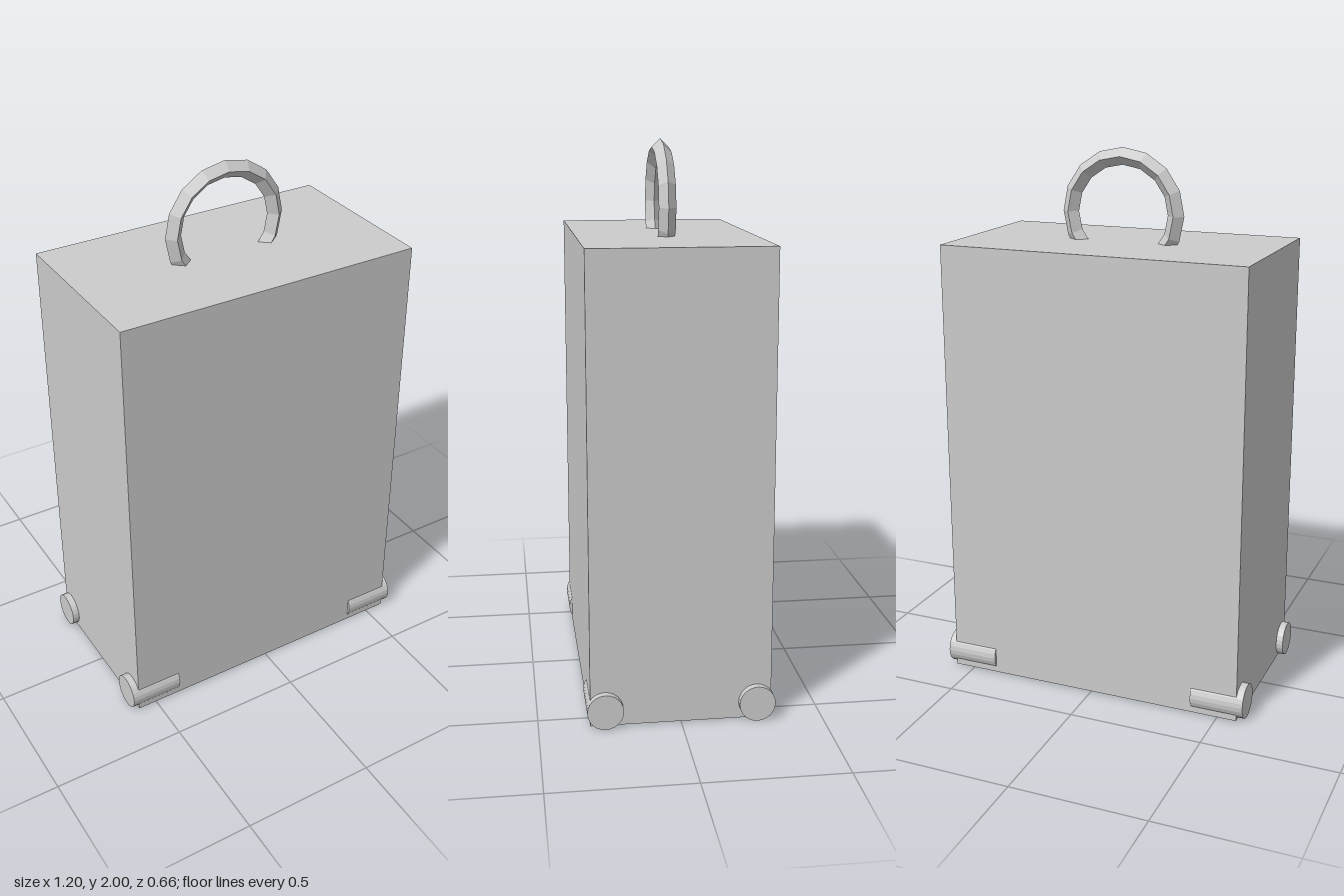
import * as THREE from 'three';

export function createModel() {
  const model = new THREE.Group();
  model.name = 'suitcase';
  const grey = new THREE.MeshStandardMaterial({ color: 0xcccccc, flatShading: true });
  grey.name = 'light grey';

  const add = (name, geometry, x, y, z) => {
    const mesh = new THREE.Mesh(geometry, grey);
    mesh.name = name;
    mesh.position.set(x, y, z);
    model.add(mesh);
    return mesh;
  };

  // Case body
  const bottom = 0.004, top = 1.664;
  add('caseBody', new THREE.BoxGeometry(1.148, top - bottom, 0.64), 0, (top + bottom) / 2, 0);

  // Ring handle with a diamond section, its lower part sunk into the case
  add('handle', new THREE.TorusGeometry(0.204, 0.031, 4, 16), 0, 1.765, 0);

  // Four roller wheels, one at each bottom corner
  const wheel = new THREE.CylinderGeometry(0.064, 0.064, 0.2, 24).rotateZ(Math.PI / 2);
  for (const [side, x] of [['left', 0.5], ['right', -0.5]]) {
    for (const [end, z] of [['Front', 0.268], ['Back', -0.268]]) {
      add(`${side}${end}Wheel`, wheel, x, 0.064, z);
    }
  }

  return model;
}
